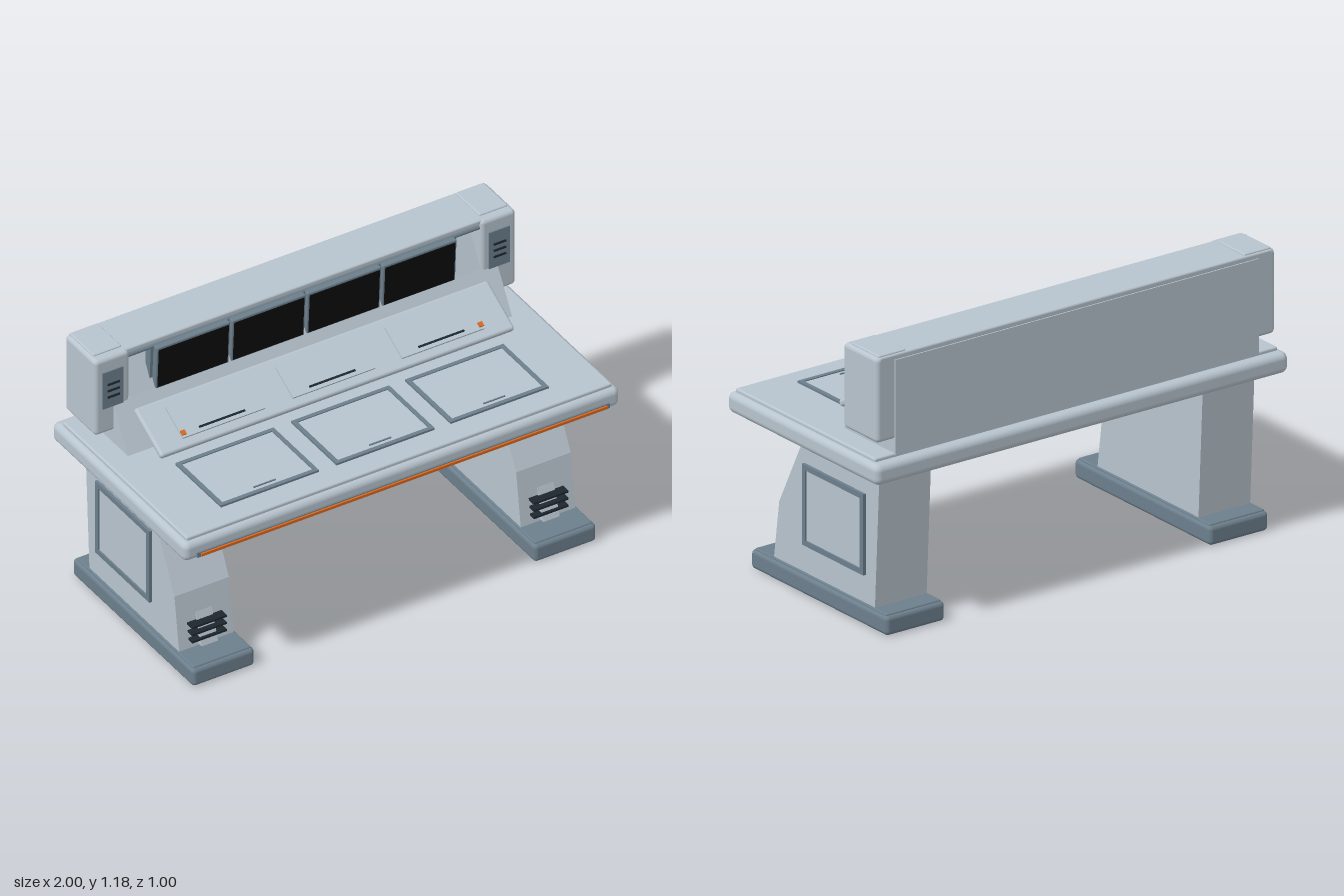
import * as THREE from 'three';
import { RoundedBoxGeometry } from 'three/addons/geometries/RoundedBoxGeometry.js';

const mat = (name, color) => {
  const m = new THREE.MeshStandardMaterial({ color });
  m.name = name;
  return m;
};

export function createModel() {
  const shell = mat('pale grey shell', 0xb8c4ce);
  const slate = mat('slate trim', 0x6c7f8c);
  const black = mat('black glass', 0x0b0b0c);
  const dark = mat('dark slot', 0x1e272e);
  const orange = mat('orange accent', 0xd9691e);

  const model = new THREE.Group();
  model.name = 'controlDesk';

  const add = (name, geo, material, parent = model) => {
    const mesh = new THREE.Mesh(geo, material);
    mesh.name = name;
    parent.add(mesh);
    return mesh;
  };
  // Boxes given by their limits on each axis
  const box = (name, m, [x0, x1], [y0, y1], [z0, z1], r = 0, parent = model) => {
    const s = [x1 - x0, y1 - y0, z1 - z0];
    const geo = r ? new RoundedBoxGeometry(...s, 4, r) : new THREE.BoxGeometry(...s);
    const mesh = add(name, geo, m, parent);
    mesh.position.set((x0 + x1) / 2, (y0 + y1) / 2, (z0 + z1) / 2);
    return mesh;
  };
  // Side profile of [z, y] points, extruded across x
  const profile = (name, m, pts, width, x) => {
    const shape = new THREE.Shape(pts.map(p => new THREE.Vector2(...p)));
    const geo = new THREE.ExtrudeGeometry(shape, { depth: width, bevelEnabled: false });
    geo.translate(0, 0, -width / 2).rotateY(-Math.PI / 2);
    const mesh = add(name, geo, m);
    mesh.position.x = x;
    return mesh;
  };
  // Rectangular frame in the xy plane, rising along z
  const frame = (w, h, t, depth) => {
    const rect = (S, a, b) => new S([[-a, -b], [a, -b], [a, b], [-a, b]].map(p => new THREE.Vector2(...p)));
    const s = rect(THREE.Shape, w / 2, h / 2);
    s.holes.push(rect(THREE.Path, w / 2 - t, h / 2 - t));
    return new THREE.ExtrudeGeometry(s, { depth, bevelEnabled: false });
  };
  const span = (c, w) => [c - w / 2, c + w / 2];

  // Pedestals
  for (const s of [-1, 1]) {
    const cx = s * 0.783;
    box('foot', slate, span(cx, 0.285), [0, 0.081], [-0.465, 0.425], 0.018);
    box('footTop', slate, span(cx, 0.265), [0.07, 0.087], [-0.45, 0.41], 0.006);
    profile('leg', shell,
      [[0.295, 0.08], [0.26, 0.33], [0.09, 0.665], [-0.395, 0.665], [-0.365, 0.08]], 0.25, cx);
    profile('legBrace', shell, [[0.32, 0.095], [0.13, 0.66], [0.05, 0.66], [0.25, 0.095]], 0.075, cx);
    const ring = add('legPanelFrame', frame(0.4, 0.34, 0.022, 0.014), slate);
    ring.position.set(s * 0.907, 0.375, -0.105);
    ring.rotation.y = s * Math.PI / 2;
    box('legPanel', shell, span(s * 0.908, 0.012), [0.227, 0.523], [-0.283, 0.073]);
    for (const y of [0.128, 0.162, 0.196])
      box('legVent', dark, span(cx, 0.158), span(y, 0.009), [0.27, 0.318]);
  }

  // Worktop with front trim
  box('worktop', shell, [-1, 1], [0.655, 0.742], [-0.5, 0.482], 0.028);
  box('worktopSurface', shell, [-0.975, 0.975], [0.73, 0.757], [-0.455, 0.457], 0.008);
  box('edgeTrim', slate, [-0.945, 0.945], [0.67, 0.692], [0.47, 0.49]);
  box('edgeStripe', orange, [-0.93, 0.93], [0.676, 0.688], [0.485, 0.498]);

  // Desk pads
  for (const x of [-0.53, 0, 0.523]) {
    const ring = add('padFrame', frame(0.45, 0.335, 0.018, 0.009), slate);
    ring.position.set(x, 0.757, 0.188);
    ring.rotation.x = -Math.PI / 2;
    box('pad', shell, span(x, 0.416), [0.755, 0.762], [0.038, 0.338]);
    box('padHandle', slate, span(x, 0.1), [0.762, 0.766], [0.313, 0.319]);
  }

  // Sloping control console
  const console_ = new THREE.Group();
  console_.name = 'console';
  console_.position.set(0, 0.853, -0.098);
  console_.rotation.x = 0.49;
  model.add(console_);
  box('consoleBoard', shell, [-0.81, 0.81], [-0.015, 0.015], [-0.115, 0.115], 0.012, console_);
  for (const x of [-0.505, 0, 0.5]) {
    box('consolePanel', shell, span(x, 0.378), [0.012, 0.024], span(0.002, 0.147), 0, console_);
    box('consoleSlot', dark, span(x, 0.21), [0.02, 0.028], span(0.056, 0.008), 0, console_);
  }
  for (const x of [-0.683, 0.68])
    box('consoleLamp', orange, span(x, 0.02), [0.02, 0.03], span(0.056, 0.02), 0, console_);

  // Rear housing with sloping front
  profile('rearHousing', shell,
    [[-0.122, 0.75], [-0.236, 0.945], [-0.345, 1.15], [-0.46, 1.15], [-0.46, 0.75]], 1.76, 0);
  box('hood', shell, [-0.95, 0.95], [1.145, 1.172], [-0.455, -0.245], 0.008);
  const rod = add('hoodRod', new THREE.CylinderGeometry(0.009, 0.009, 1.64, 12).rotateZ(Math.PI / 2), slate);
  rod.position.set(0, 1.136, -0.252);

  // End pods with grilles
  for (const s of [-1, 1]) {
    const cx = s * 0.885;
    box('endPod', shell, span(cx, 0.16), [0.815, 1.172], [-0.455, -0.232], 0.018);
    box('endPodCap', shell, span(cx, 0.13), [1.16, 1.179], [-0.447, -0.27], 0.006);
    box('grille', slate, span(cx, 0.095), [0.938, 1.11], [-0.24, -0.226]);
    for (const y of [0.99, 1.02, 1.05])
      box('grilleSlot', dark, span(cx, 0.055), span(y, 0.008), [-0.23, -0.221]);
  }

  // Bank of four screens, tipped slightly down
  const screens = new THREE.Group();
  screens.name = 'screenBank';
  screens.position.set(0, 1.037, -0.228);
  screens.rotation.x = 0.06;
  model.add(screens);
  box('screenBacking', slate, [-0.7, 0.7], [-0.09, 0.095], [-0.06, -0.025], 0, screens);
  for (let i = 0; i < 4; i++) {
    const x = (i - 1.5) * 0.346;
    box('screenBezel', slate, span(x, 0.338), [-0.1, 0.103], [-0.03, 0], 0.006, screens);
    box('screen', black, span(x, 0.32), [-0.091, 0.092], [-0.004, 0.003], 0, screens);
  }
  return model;
}
